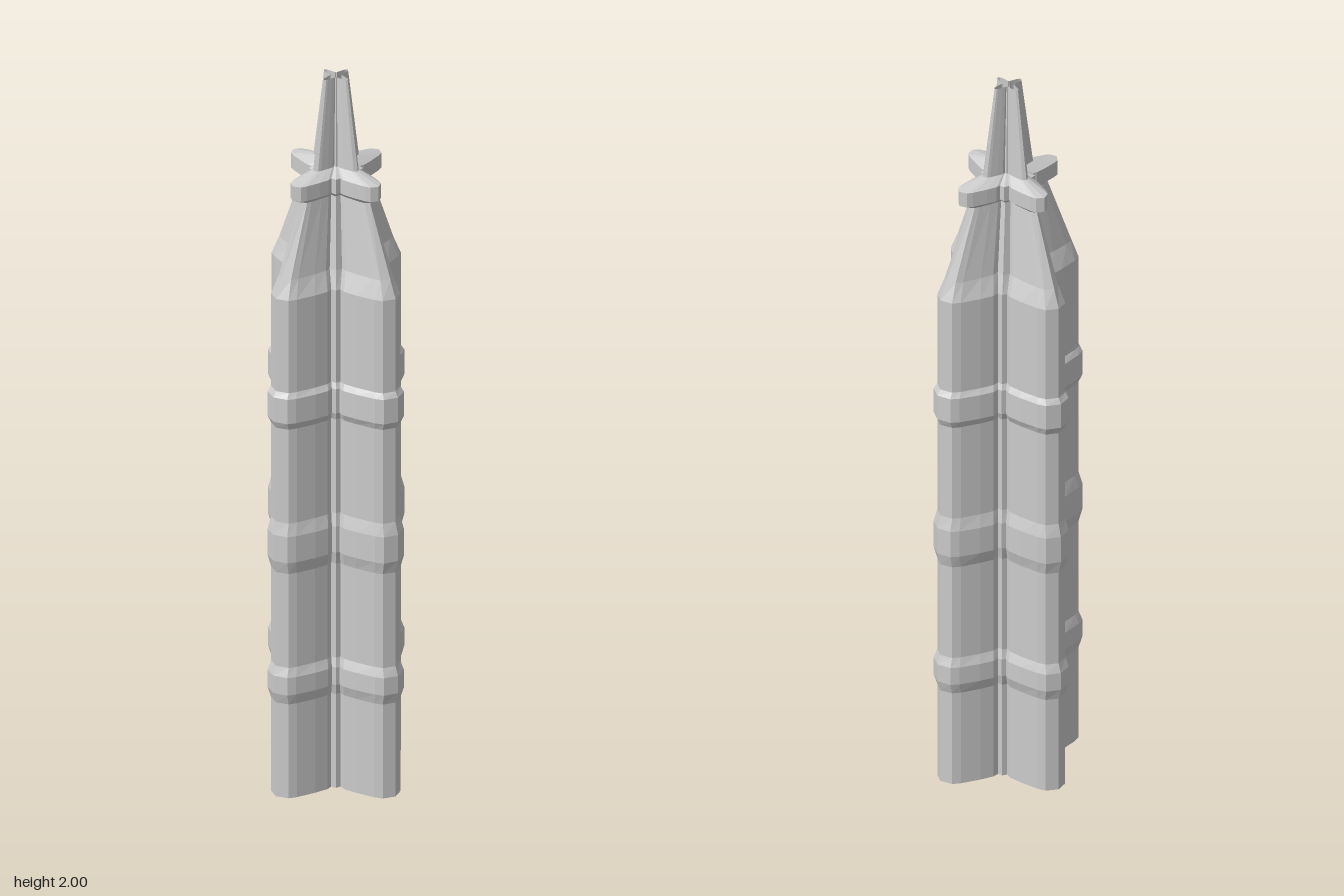
import * as THREE from 'three';

const material = new THREE.MeshStandardMaterial({
  color: 0xcccccc, flatShading: true, side: THREE.DoubleSide,
});

// Half a petal: [position from valley (0) to tip (1), share of half-width]
const PETAL = [[1, 0], [0.9, 0.5], [0.76, 0.66], [0.4, 0.89], [0.14, 1], [0.02, 0.94]];

// Four-petal outline from tip radius, petal half-width and valley corner
function crossOutline(tip, width, valley) {
  const half = PETAL.map(([t, s]) => [valley + t * (tip - valley), s * width]);
  const quarter = [
    ...half,
    [valley, valley],
    ...half.slice(1).reverse().map(([u, s]) => [s, u]),
  ];
  const points = [];
  for (let k = 0; k < 4; k++) {
    const c = [1, 0, -1, 0][k], n = [0, 1, 0, -1][k];
    for (const [x, z] of quarter) points.push([x * c - z * n, x * n + z * c]);
  }
  return points;
}

// Open loft through sections [y, tip, width, valley]
function loft(name, sections) {
  const positions = [], index = [];
  let count = 0;
  for (const [y, tip, width, valley] of sections) {
    const outline = crossOutline(tip, width, valley);
    count = outline.length;
    for (const [x, z] of outline) positions.push(x, y, z);
  }
  for (let i = 0; i < sections.length - 1; i++) {
    for (let j = 0; j < count; j++) {
      const a = i * count + j, b = i * count + (j + 1) % count;
      index.push(a, a + count, b, b, a + count, b + count);
    }
  }
  const geometry = new THREE.BufferGeometry();
  geometry.setAttribute('position', new THREE.Float32BufferAttribute(positions, 3));
  geometry.setIndex(index);
  geometry.computeVertexNormals();
  const mesh = new THREE.Mesh(geometry, material);
  mesh.name = name;
  return mesh;
}

export function createModel() {
  const group = new THREE.Group();
  group.name = 'tower';

  // Shaft with three raised bands
  const wall = [0.219, 0.064, 0.074], raised = [0.228, 0.073, 0.08];
  const shaft = [[0, ...wall]];
  for (const [y0, y1, y2, y3] of [
    [0.27, 0.3, 0.35, 0.375], [0.645, 0.68, 0.755, 0.79], [1.06, 1.08, 1.15, 1.165],
  ]) {
    shaft.push([y0, ...wall], [y1, ...raised], [y2, ...raised], [y3, ...wall]);
  }
  shaft.push([1.43, ...wall]);
  group.add(loft('shaft', shaft));

  // Shoulder and tapering crown
  const crownTop = [1.675, 0.125, 0.022, 0.036];
  group.add(loft('crown', [[1.43, ...wall], [1.48, 0.2, 0.045, 0.062], crownTop]));

  // Projecting collar
  const spireBase = [1.75, 0.08, 0.018, 0.022];
  group.add(loft('collar', [
    crownTop, [1.69, 0.157, 0.038, 0.05], [1.732, 0.157, 0.038, 0.05], spireBase,
  ]));

  // Hollow spire
  group.add(loft('spire', [spireBase, [2, 0.043, 0.009, 0.011]]));
  return group;
}
